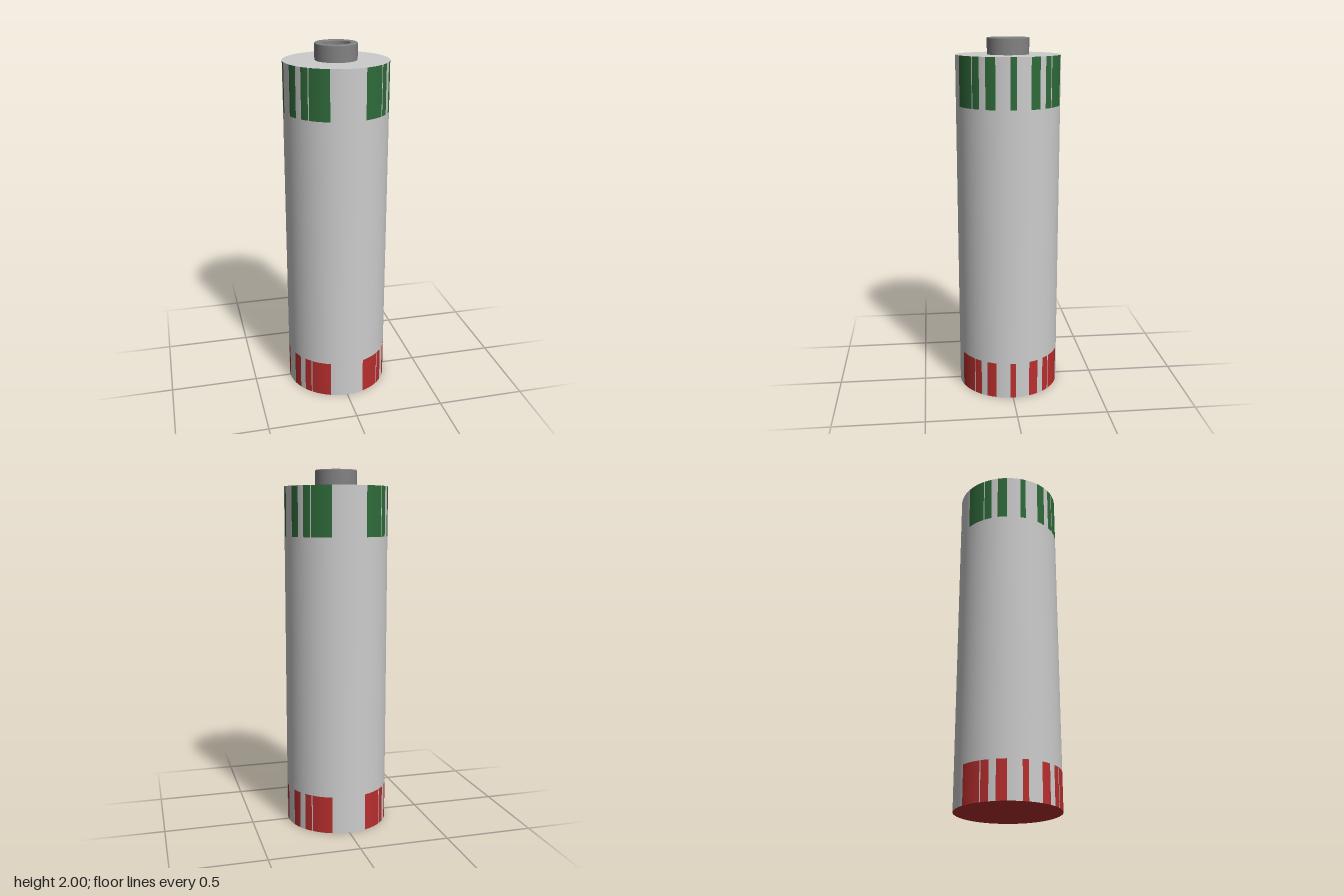
import * as THREE from 'three';
import { mergeGeometries } from 'three/addons/utils/BufferGeometryUtils.js';

const R = 0.287, TOP = 1.91, GREEN_Y = 1.64, RED_Y = 0.21;

const material = (name, color) => {
  const m = new THREE.MeshStandardMaterial({ color });
  m.name = name;
  return m;
};

// Stripe edges in degrees from the front, mirrored to all four quarters
const quarter = [19.4, 42.3, 43.6, 52.4, 60, 71, 86.8];
const half = [...quarter, ...quarter.map((a) => 180 - a).reverse()];
const edges = [...half, ...half.map((a) => a + 180)];

// Open wall of the can between two heights and two angles
function wall(y0, y1, a0, a1) {
  const rad = THREE.MathUtils.degToRad;
  const segments = Math.max(1, Math.ceil((a1 - a0) / 3));
  return new THREE.CylinderGeometry(R, R, y1 - y0, segments, 1, true, rad(a0), rad(a1 - a0))
    .translate(0, (y0 + y1) / 2, 0);
}

// Band of alternating stripes and gaps; parity 0 gives stripes, 1 gives gaps
function band(y0, y1, parity) {
  const parts = [];
  edges.forEach((a, i) => {
    const next = i + 1 < edges.length ? edges[i + 1] : edges[0] + 360;
    if (i % 2 === parity) parts.push(wall(y0, y1, a, next));
  });
  return mergeGeometries(parts);
}

export function createModel() {
  const group = new THREE.Group();
  const casing = material('light grey casing', 0xcccccc);
  const green = material('green', 0x2f6b3a);
  const red = material('red', 0xb82e2e);
  const metal = material('dark grey metal', 0x828282);

  const add = (name, geometry, mat) => {
    const mesh = new THREE.Mesh(geometry, mat);
    mesh.name = name;
    group.add(mesh);
    return mesh;
  };

  // Casing wall and its end discs
  add('casingWall', wall(RED_Y, GREEN_Y, 0, 360), casing);
  add('topDisc', new THREE.CircleGeometry(R, 120).rotateX(-Math.PI / 2).translate(0, TOP, 0), casing);
  add('bottomDisc', new THREE.CircleGeometry(R, 120).rotateX(Math.PI / 2), red);

  // Striped bands at both ends
  add('topStripes', band(GREEN_Y, TOP, 0), green);
  add('topGaps', band(GREEN_Y, TOP, 1), casing);
  add('bottomStripes', band(0, RED_Y, 0), red);
  add('bottomGaps', band(0, RED_Y, 1), casing);

  // Hollow terminal with slightly rounded rims
  const outer = 0.115, inner = 0.076, floor = 1.94, f = 0.005;
  const profile = [[outer, TOP], [outer, 2 - f - 0.002], [outer, 2 - f]];
  for (const a of [30, 60, 90]) {
    const t = THREE.MathUtils.degToRad(a);
    profile.push([outer - f + f * Math.cos(t), 2 - f + f * Math.sin(t)]);
  }
  profile.push([outer - f - 0.002, 2], [inner + f + 0.002, 2]);
  for (const a of [90, 120, 150, 180]) {
    const t = THREE.MathUtils.degToRad(a);
    profile.push([inner + f + f * Math.cos(t), 2 - f + f * Math.sin(t)]);
  }
  profile.push([inner, 2 - f - 0.002], [inner, floor]);
  add('terminalRing', new THREE.LatheGeometry(profile.map(([x, y]) => new THREE.Vector2(x, y)), 64), metal);
  add('terminalFloor', new THREE.CircleGeometry(inner, 64).rotateX(-Math.PI / 2).translate(0, floor, 0), metal);

  return group;
}
